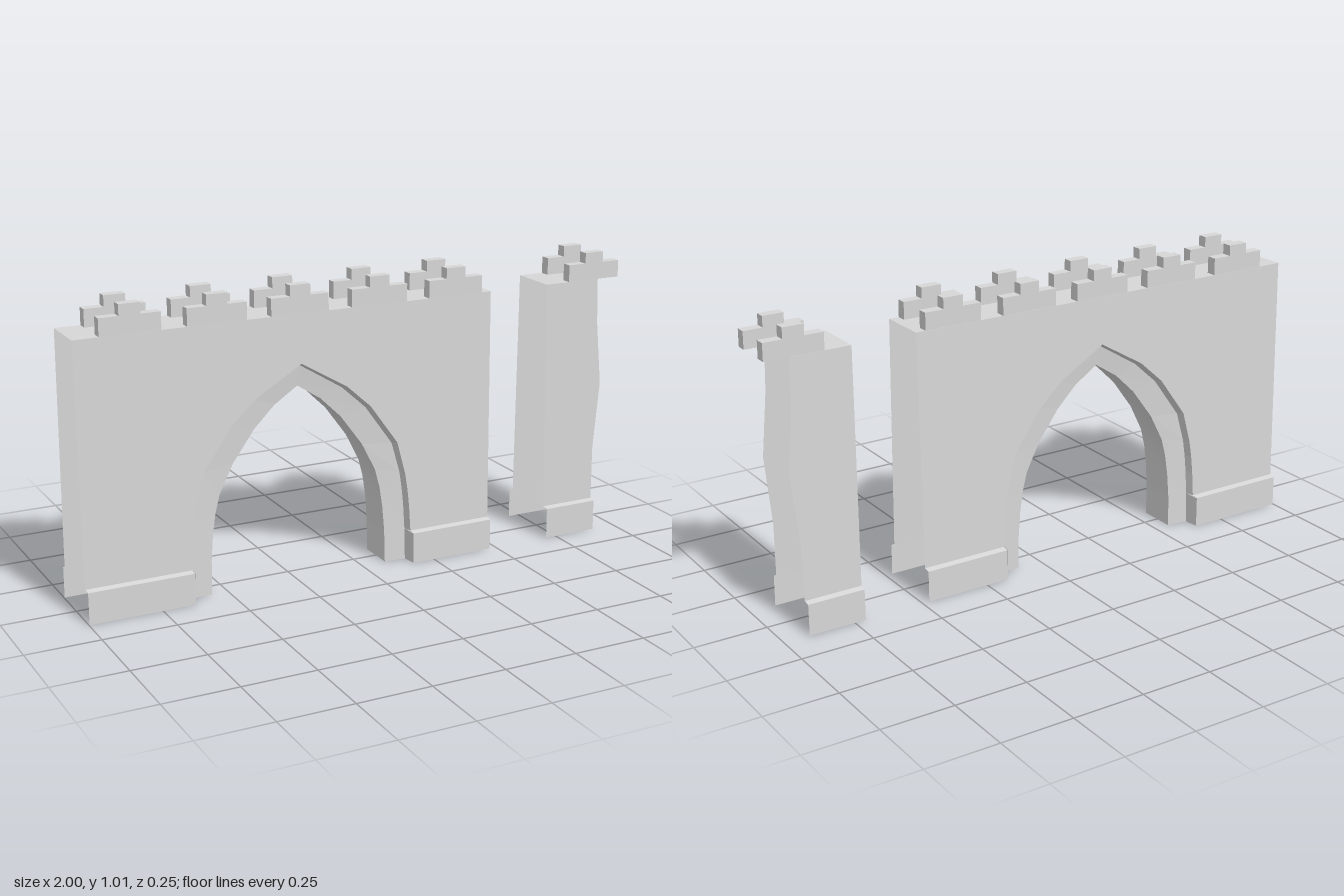
import * as THREE from 'three';
import { mergeVertices } from 'three/addons/utils/BufferGeometryUtils.js';

const stone = new THREE.MeshStandardMaterial({ color: 0xd6d6d6, side: THREE.DoubleSide });
stone.name = 'pale grey stone';

const ARCH_X = -0.234, TOP = 0.918;
const faceZ = (y) => 0.105 - 0.02 * y; // walls lean inward towards the top

function addMesh(parent, name, geometry) {
  const mesh = new THREE.Mesh(geometry, stone);
  mesh.name = name;
  parent.add(mesh);
}

// Flat-shaded strip between two polylines of [x, y, z] points
function ribbon(a, b, flip = false) {
  if (flip) [a, b] = [b, a];
  const v = [];
  for (let i = 0; i < a.length - 1; i++) {
    v.push(...a[i], ...b[i], ...a[i + 1], ...b[i], ...b[i + 1], ...a[i + 1]);
  }
  const g = new THREE.BufferGeometry();
  g.setAttribute('position', new THREE.Float32BufferAttribute(v, 3));
  g.computeVertexNormals();
  return g;
}

// The same strip with shared vertices, so it shades smoothly
function smoothRibbon(a, b) {
  const g = ribbon(a, b);
  g.deleteAttribute('normal');
  const merged = mergeVertices(g);
  merged.computeVertexNormals();
  return merged;
}

// Flat outline whose depth follows a rule of height; side = 1 front, -1 back
function sheet(outline, depth, side) {
  const shape = new THREE.Shape(outline.map(([x, y]) => new THREE.Vector2(x, y)));
  const g = new THREE.ShapeGeometry(shape);
  const p = g.attributes.position;
  for (let i = 0; i < p.count; i++) p.setZ(i, depth(p.getY(i)));
  if (side < 0) g.index.array.reverse();
  g.computeVertexNormals();
  return g;
}

// Half outlines [half width, height] mirrored into a full pointed arch
function arch(half) {
  const left = half.map(([w, y]) => [ARCH_X - w, y]);
  const right = half.slice(0, -1).reverse().map(([w, y]) => [ARCH_X + w, y]);
  return [...left, ...right];
}
const OUTER = [[0.404, 0], [0.402, 0.108], [0.402, 0.112], [0.397, 0.2], [0.391, 0.26],
  [0.382, 0.32], [0.352, 0.435], [0.252, 0.575], [0.164, 0.655], [0, 0.752]];
const RECESS = OUTER.map(([w, y]) => [Math.max(0, w - 0.007), y > 0.4 ? y - 0.008 : y]);
const INNER = [[0.322, 0], [0.32, 0.108], [0.32, 0.112], [0.313, 0.2], [0.302, 0.275],
  [0.285, 0.34], [0.235, 0.438], [0.157, 0.544], [0.083, 0.616], [0, 0.67]];

const BASE = [[0, 0.126], [0.108, 0.125], [0.112, faceZ(0.112)]]; // [height, depth]

export function createModel() {
  const group = new THREE.Group();
  group.name = 'ruinedArchWall';

  const outer = arch(OUTER), recess = arch(RECESS), inner = arch(INNER);
  const at = (pts, depth) => pts.map(([x, y]) => [x, y, depth(y)]);
  const recessZ = (y) => 0.074 - 0.014 * y;
  const innerZ = (y) => 0.067 - 0.017 * y;
  const outerZ = (y) => (y < 0.11 ? 0.126 - 0.009 * y : faceZ(y));

  // Wall outlines: the arched span and the broken pillar
  const spanOutline = [[-1, TOP], [-1, 0.112], ...outer.slice(2, -2), [0.476, 0.112], [0.479, TOP]];
  const pillarOutline = [[0.705, TOP], [0.71, 0.112], [0.912, 0.112], [0.914, 0.3],
    [0.938, 0.54], [0.919, 0.76], [0.916, TOP]];
  const plinths = [[-0.998, ARCH_X - 0.403], [ARCH_X + 0.403, 0.475], [0.711, 0.911]];

  for (const s of [1, -1]) {
    const end = s > 0 ? 'front' : 'back';
    const flip = s < 0;
    addMesh(group, end + 'Wall', sheet(spanOutline, (y) => s * faceZ(y), s));
    addMesh(group, end + 'PillarWall', sheet(pillarOutline, (y) => s * faceZ(y), s));

    // Projecting plinths along the foot of the walls
    for (const [x0, x1] of plinths) {
      const line = (x) => BASE.map(([y, z]) => [x, y, s * z]);
      addMesh(group, end + 'Plinth', ribbon(line(x0), line(x1), flip));
    }

    // Stepped arch surround
    const rim = at(recess, (y) => s * recessZ(y));
    addMesh(group, end + 'ArchReveal', ribbon(at(outer, (y) => s * outerZ(y)), rim, flip));
    addMesh(group, end + 'ArchRing', ribbon(rim, at(inner, (y) => s * innerZ(y)), flip));
  }

  // Underside of the arch, creased only at the point
  const apex = INNER.length - 1;
  for (const half of [inner.slice(0, apex + 1), inner.slice(apex)]) {
    addMesh(group, 'archSoffit', smoothRibbon(at(half, innerZ), at(half, (y) => -innerZ(y))));
  }

  // Walkways closing the tops
  for (const [x0, x1] of [[-1, 0.479], [0.705, 0.916]]) {
    const z = faceZ(TOP);
    addMesh(group, 'walkway', ribbon([[x0, TOP, -z], [x1, TOP, -z]], [[x0, TOP, z], [x1, TOP, z]]));
  }

  // Stepped battlements, hollow underneath
  for (const cx of [-0.812, -0.523, -0.235, 0.054, 0.342, 0.898]) {
    const steps = [[-0.102, TOP], [-0.102, 0.977], [-0.036, 0.977], [-0.036, 1.014],
      [0.036, 1.014], [0.036, 0.977], [0.102, 0.977], [0.102, TOP]].map(([x, y]) => [cx + x, y]);
    const reversed = [...steps].reverse();
    for (const [z0, z1] of [[0.0515, 0.0862], [-0.0855, -0.0495]]) {
      addMesh(group, 'battlementFace', sheet(reversed, () => z1, 1));
      addMesh(group, 'battlementFace', sheet(reversed, () => z0, -1));
      addMesh(group, 'battlementEdge', ribbon(at(steps, () => z0), at(steps, () => z1)));
    }
  }
  return group;
}
